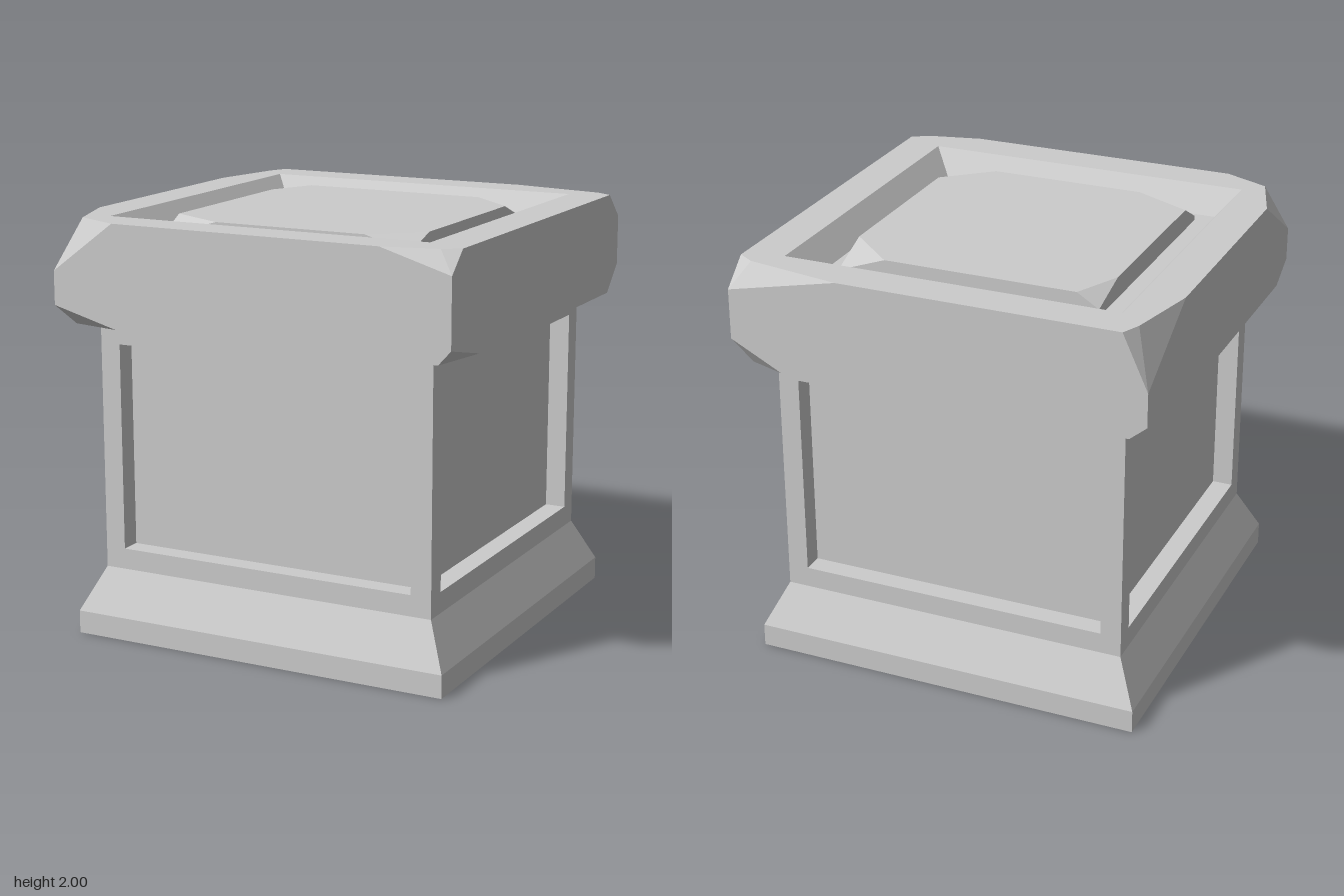
import * as THREE from 'three';
import { ConvexGeometry } from 'three/addons/geometries/ConvexGeometry.js';

const material = new THREE.MeshStandardMaterial({ color: 0xcccccc, flatShading: true });
const V = (x, y, z) => new THREE.Vector3(x, y, z);

function add(parent, name, geometry, x = 0, y = 0, z = 0) {
  const mesh = new THREE.Mesh(geometry, material);
  mesh.name = name;
  mesh.position.set(x, y, z);
  parent.add(mesh);
  return mesh;
}

// Square-section solid swept through [halfWidth, height] pairs
function squareLoft(profile) {
  const points = profile.map(([half, y]) => new THREE.Vector2(half * Math.SQRT2, y));
  const geometry = new THREE.LatheGeometry(points, 4, Math.PI / 4).toNonIndexed();
  geometry.computeVertexNormals();
  return geometry;
}

// Removes the flat upward faces of a hull so that an open top can replace them
function withoutTop(geometry, topY) {
  const p = geometry.attributes.position;
  const kept = [];
  for (let i = 0; i < p.count; i += 3) {
    if ([0, 1, 2].every((k) => p.getY(i + k) > topY - 1e-4)) continue;
    for (let k = 0; k < 3; k++) kept.push(p.getX(i + k), p.getY(i + k), p.getZ(i + k));
  }
  const open = new THREE.BufferGeometry();
  open.setAttribute('position', new THREE.Float32BufferAttribute(kept, 3));
  open.computeVertexNormals();
  return open;
}

// Chipped cap corners: signs, then where each chip leaves the x side (az), the top
// (bx, bz), the z side (cx) and the corner edge (dy); the last three are the lower chip
const capCorners = [
  { sx: 1, sz: 1, az: 0.89, bx: 0.92, bz: 0.94, cx: 0.66, dy: 1.9, lowAz: 0.7, lowCx: 0.94, lowDy: 1.58 },
  { sx: -1, sz: 1, az: 0.61, bx: 0.9, bz: 0.9, cx: 0.68, dy: 1.76, lowAz: 0.85, lowCx: 0.67, lowDy: 1.6 },
  { sx: 1, sz: -1, az: 0.87, bx: 0.92, bz: 0.92, cx: 0.46, dy: 1.88, lowAz: 0.87, lowCx: 0.75, lowDy: 1.64 },
  { sx: -1, sz: -1, az: 0.55, bx: 0.92, bz: 0.91, cx: 0.88, dy: 1.74, lowAz: 0.7, lowCx: 0.92, lowDy: 1.58 },
];

// Chipped slab corners: signs, chip reach along x and z edges, height of the corner
const slabCorners = [
  [1, 1, 0.41, 0.44, 1.915],
  [-1, 1, 0.35, 0.49, 1.9],
  [1, -1, 0.4, 0.42, 1.895],
  [-1, -1, 0.53, 0.41, 1.915],
];

function buildCap() {
  const cap = new THREE.Group();
  cap.name = 'cap';
  const hull = [];
  const rim = [];
  for (const c of capCorners) {
    const at = (x, y, z) => V(c.sx * x, y, c.sz * z);
    const top = [at(1, 2, c.az), at(c.bx, 2, c.bz), at(c.cx, 2, 1)];
    rim.push(...top);
    hull.push(...top, at(1, c.dy, 1), at(1, c.lowDy, 1), at(1, 1.513, c.lowAz),
      at(c.lowCx, 1.513, 1), at(0.93, 1.508, 0.93), at(0.85, 1.5, 0.85));
  }
  add(cap, 'capSides', withoutTop(new ConvexGeometry(hull), 2));

  // Flat rim around the square opening
  rim.sort((a, b) => Math.atan2(-a.z, a.x) - Math.atan2(-b.z, b.x));
  const outline = new THREE.Shape(rim.map((p) => new THREE.Vector2(p.x, -p.z)));
  const h = 0.81;
  outline.holes.push(new THREE.Path(
    [[-h, -h], [-h, h], [h, h], [h, -h]].map(([x, y]) => new THREE.Vector2(x, y))));
  add(cap, 'capRim', new THREE.ShapeGeometry(outline).rotateX(-Math.PI / 2), 0, 2, 0);

  // Sunken tray with sloping walls
  add(cap, 'tray', squareLoft([[h, 2], [0.71, 1.88], [0, 1.88]]));

  // Raised slab with chipped corners
  const slab = [];
  for (const [sx, sz, ex, ez, y] of slabCorners) {
    slab.push(V(sx * ex, 1.98, sz * 0.635), V(sx * 0.635, 1.98, sz * ez),
      V(sx * 0.635, y, sz * 0.635), V(sx * 0.635, 1.87, sz * 0.635));
  }
  add(cap, 'topSlab', new ConvexGeometry(slab));
  return cap;
}

export function createModel() {
  const model = new THREE.Group();
  model.name = 'pedestal';

  // Plinth with sloping shoulder
  add(model, 'plinth', squareLoft([[0, 0], [0.95, 0], [0.95, 0.11], [0.85, 0.32]]));

  // Body: recessed panels framed by rails and corner posts
  const body = new THREE.Group();
  body.name = 'body';
  add(body, 'recessedPanels', new THREE.BoxGeometry(1.5, 0.99, 1.5), 0, 0.915, 0);
  add(body, 'lowerRail', new THREE.BoxGeometry(1.7, 0.1, 1.7), 0, 0.37, 0);
  add(body, 'upperRail', new THREE.BoxGeometry(1.7, 0.09, 1.7), 0, 1.455, 0);
  for (const sx of [-1, 1]) {
    for (const sz of [-1, 1]) {
      add(body, 'cornerPost', new THREE.BoxGeometry(0.1, 0.99, 0.1), sx * 0.8, 0.915, sz * 0.8);
    }
  }
  model.add(body, buildCap());
  return model;
}
